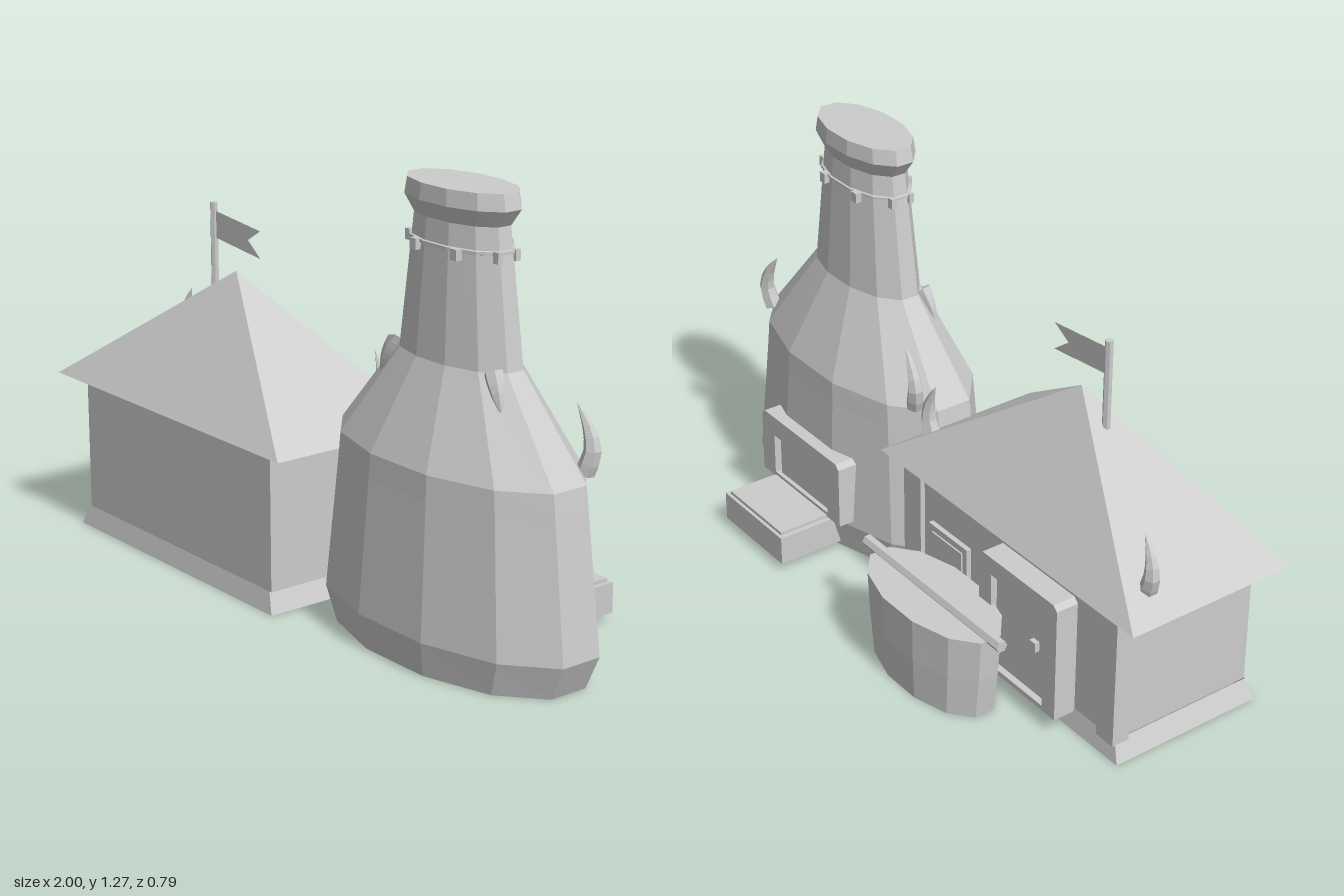
import * as THREE from 'three';

export function createModel() {
  const model = new THREE.Group();
  const stone = new THREE.MeshStandardMaterial({ color: 0xcccccc, flatShading: true, side: THREE.DoubleSide });
  stone.name = 'light grey';

  const add = (name, geometry, x = 0, y = 0, z = 0, parent = model) => {
    const mesh = new THREE.Mesh(geometry, stone);
    mesh.name = name;
    mesh.position.set(x, y, z);
    parent.add(mesh);
    return mesh;
  };

  // Box given by its limits on each axis
  const box = (name, x0, x1, y0, y1, z0, z1) =>
    add(name, new THREE.BoxGeometry(x1 - x0, y1 - y0, z1 - z0), (x0 + x1) / 2, (y0 + y1) / 2, (z0 + z1) / 2);

  // Twelve-sided oval body from rows of [half width, half depth, height]
  const ovalBody = (name, rows, x, z) => {
    const s = 1 / Math.cos(Math.PI / 12);
    const points = rows.map(([w, , y]) => new THREE.Vector2(w * s, y));
    const geometry = new THREE.LatheGeometry(points, 12, Math.PI / 12);
    const pos = geometry.attributes.position;
    for (let i = 0; i < pos.count; i++) {
      const [w, d] = rows[i % rows.length];
      pos.setZ(i, w ? pos.getZ(i) * d / w : 0);
    }
    return add(name, geometry, x, 0, z);
  };

  // Four-sided tapered block, unit footprint scaled to width and depth
  const pyramid = (top, w, h, d, open) => {
    const r = Math.SQRT1_2;
    return new THREE.CylinderGeometry(r * top, r, h, 4, 1, open).rotateY(Math.PI / 4).scale(w, 1, d);
  };

  // Curved spike that thins towards its tip
  const horn = (name, points, radius) => {
    const curve = new THREE.CatmullRomCurve3(points.map(p => new THREE.Vector3(...p)));
    const segments = 6, sides = 6;
    const geometry = new THREE.TubeGeometry(curve, segments, radius, sides);
    const pos = geometry.attributes.position, v = new THREE.Vector3();
    for (let i = 0; i < pos.count; i++) {
      const t = Math.floor(i / (sides + 1)) / segments;
      const c = curve.getPointAt(t);
      v.fromBufferAttribute(pos, i).sub(c).multiplyScalar(1 - t * t).add(c);
      pos.setXYZ(i, v.x, v.y, v.z);
    }
    add(name, geometry);
  };

  // Upright surround with clipped top corners and an opening
  const surround = (name, x0, x1, y0, y1, border, z0, z1) => {
    const c = 0.015;
    const outline = [[x0, y0], [x1, y0], [x1, y1 - c], [x1 - c, y1], [x0 + c, y1], [x0, y1 - c]];
    const shape = new THREE.Shape(outline.map(p => new THREE.Vector2(...p)));
    const a = x0 + border, b = x1 - border, t = y1 - border, f = y0 + 0.015;
    shape.holes.push(new THREE.Path([[a, f], [a, t], [b, t], [b, f]].map(p => new THREE.Vector2(...p))));
    add(name, new THREE.ExtrudeGeometry(shape, { depth: z1 - z0, bevelEnabled: false }), 0, 0, z0);
  };

  // House
  add('houseSkirt', pyramid(0.945, 0.98, 0.06, 0.49, true), -0.44, 0.03, 0.12);
  box('houseWalls', -0.9, 0.03, 0.06, 0.47, -0.11, 0.35);
  add('roof', pyramid(0, 1.12, 0.385, 0.54, false), -0.44, 0.6625, 0.12);
  box('rightCornerPost', -0.91, -0.84, 0.05, 0.47, -0.125, -0.07);
  box('leftCornerPost', -0.04, 0.04, 0.05, 0.47, -0.125, -0.07);

  // Back door and window
  surround('doorFrame', -0.73, -0.39, 0.05, 0.42, 0.055, -0.18, -0.11);
  box('door', -0.68, -0.44, 0.06, 0.37, -0.16, -0.11);
  box('doorHandle', -0.635, -0.61, 0.215, 0.245, -0.175, -0.16);
  box('windowFrame', -0.26, -0.08, 0.19, 0.32, -0.125, -0.11);
  box('windowPane', -0.24, -0.1, 0.21, 0.3, -0.13, -0.125);

  // Flag on the roof
  add('flagPole', new THREE.CylinderGeometry(0.012, 0.012, 0.3, 6), -0.547, 0.89, 0.12);
  const pennant = new THREE.Shape([
    [-0.54, 0.935], [-0.32, 0.912], [-0.38, 0.957], [-0.32, 0.993], [-0.54, 1.015],
  ].map(p => new THREE.Vector2(...p)));
  add('flag', new THREE.ShapeGeometry(pennant), 0, 0, 0.12);

  // Furnace with chimney
  ovalBody('furnace', [
    [0.44, 0.22, 0], [0.485, 0.237, 0.1], [0.437, 0.213, 0.48], [0.428, 0.21, 0.55],
    [0.215, 0.103, 0.81], [0.165, 0.082, 1.18], [0.198, 0.1, 1.225], [0.188, 0.096, 1.27], [0, 0, 1.27],
  ], 0.513, 0.083);

  // Chimney band with hanging studs
  ovalBody('chimneyBand', [[0.172, 0.086, 1.108], [0.18, 0.091, 1.11], [0.18, 0.091, 1.118], [0.172, 0.086, 1.12]], 0.513, 0.083);
  for (const s of [-1, 1]) for (const t of [-1, 1]) {
    const x = 0.513 + s * 0.08, z = 0.083 + t * 0.088;
    box('bandStud', x - 0.012, x + 0.012, 1.09, 1.12, z - 0.01, z + 0.01);
    const sx = 0.513 + s * 0.175, sz = 0.083 + t * 0.03;
    box('bandStud', sx - 0.01, sx + 0.01, 1.09, 1.12, sz - 0.008, sz + 0.008);
  }

  // Furnace mouth and ash tray at the back
  surround('mouthFrame', 0.3, 0.715, 0.12, 0.33, 0.065, -0.178, -0.11);
  box('mouthDoor', 0.38, 0.635, 0.12, 0.25, -0.165, -0.12);
  const tray = add('ashTray', new THREE.BoxGeometry(0.31, 0.09, 0.21), 0.51, 0.07, -0.245);
  const trayPos = tray.geometry.attributes.position;
  for (let i = 0; i < trayPos.count; i++) {
    if (trayPos.getY(i) > 0 && trayPos.getZ(i) > 0) trayPos.setZ(i, 0.08);
  }
  box('trayLid', 0.37, 0.65, 0.115, 0.125, -0.34, -0.16);

  // Horns on the roof ends and the furnace shoulders, mirrored about each body
  for (const s of [-1, 1]) {
    const h = -0.443, f = 0.513;
    horn('roofHorn', [[h + s * 0.465, 0.51, -0.03], [h + s * 0.487, 0.57, -0.035],
      [h + s * 0.48, 0.63, -0.035], [h + s * 0.452, 0.69, -0.035]], 0.026);
    horn('shoulderHorn', [[f + s * 0.375, 0.56, -0.015], [f + s * 0.392, 0.62, -0.025],
      [f + s * 0.375, 0.68, -0.025], [f + s * 0.335, 0.74, -0.02]], 0.027);
    horn('frontFang', [[f + s * 0.195, 0.815, 0.14], [f + s * 0.22, 0.77, 0.148], [f + s * 0.245, 0.712, 0.155]], 0.026);
  }

  // Tub with a carrying pole
  ovalBody('tub', [[0.235, 0.114, 0], [0.25, 0.12, 0.13], [0.26, 0.123, 0.265], [0, 0, 0.265]], -0.31, -0.274);
  add('carryingPole', new THREE.CylinderGeometry(0.018, 0.018, 0.63, 6).rotateZ(Math.PI / 2), -0.305, 0.27, -0.275);

  return model;
}
